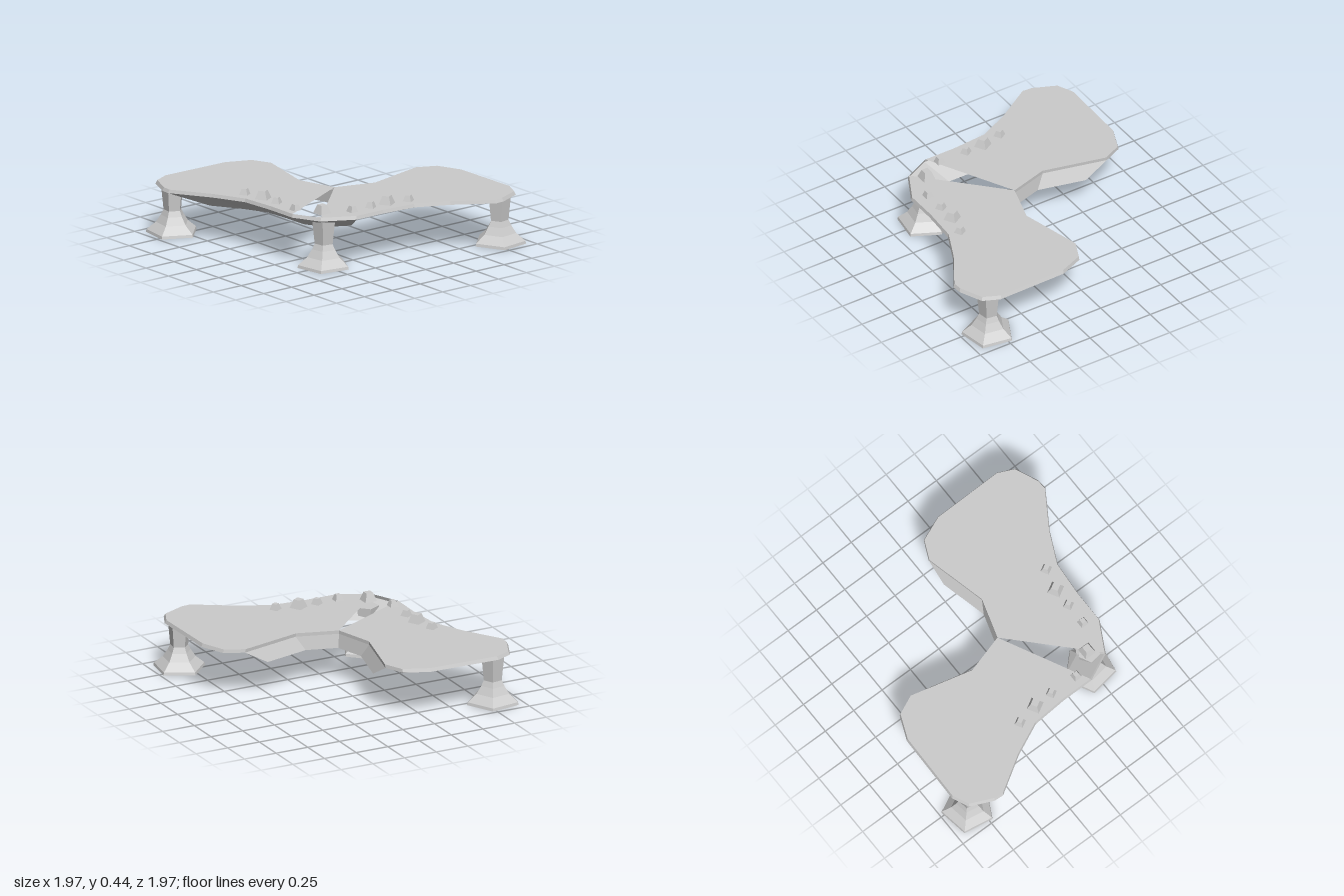
import * as THREE from 'three';

const TOP = 0.385, RIM = 0.36, SKIRT = 0.26;

const material = new THREE.MeshStandardMaterial({ color: 0xcccccc, flatShading: true });
const thin = new THREE.MeshStandardMaterial({ color: 0xcccccc, flatShading: true, side: THREE.DoubleSide });

// Outline of one wing as [x, z], from the inner notch round to the outer corner
const wing = [
  [-0.045, 0.04], [0.25, 0.13], [0.71, 0.016], [0.85, 0.08], [0.925, 0.26],
  [0.935, 0.79], [0.88, 0.91], [0.71, 0.985], [0.64, 0.99], [0.37, 0.82],
  [0.135, 0.71], [-0.13, 0.69], [-0.37, 0.69], [-0.595, 0.57],
];
const mirror = ([x, z]) => [-z, -x];
const mirroredWing = wing.slice(1, -1).map(mirror).reverse();
const ring = [...wing, ...mirroredWing];

function addMesh(group, name, geometry, mat = material) {
  const mesh = new THREE.Mesh(geometry, mat);
  mesh.name = name;
  group.add(mesh);
  return mesh;
}

// Flat top surface of a wing
function plate(points) {
  const shape = new THREE.Shape(points.map(([x, z]) => new THREE.Vector2(x * 0.99, -z * 0.99)));
  return new THREE.ShapeGeometry(shape).rotateX(-Math.PI / 2).translate(0, TOP, 0);
}

// Wall between two heights, each with its own scale of the outline
function wall(points, yTop, scaleTop, yLow, scaleLow) {
  const positions = [], index = [];
  points.forEach(([x, z], i) => {
    positions.push(x * scaleTop, yTop, z * scaleTop, x * scaleLow, yLow, z * scaleLow);
    if (i > 0) {
      const a = 2 * (i - 1);
      index.push(a, a + 2, a + 1, a + 1, a + 2, a + 3);
    }
  });
  const g = new THREE.BufferGeometry();
  g.setAttribute('position', new THREE.Float32BufferAttribute(positions, 3));
  g.setIndex(index);
  g.computeVertexNormals();
  return g;
}

// Five-sided pedestal leg with a flared foot
function leg(height) {
  const profile = [[0, 0], [0.19, 0], [0.185, 0.02], [0.12, 0.075], [0.085, 0.13],
    [0.066, 0.17], [0.085, height], [0, height]];
  return new THREE.LatheGeometry(profile.map(([r, y]) => new THREE.Vector2(r, y)), 5);
}

export function createModel() {
  const model = new THREE.Group();
  model.name = 'table';

  // Two wings meeting at the notch, with an open wedge between them
  addMesh(model, 'leftWingTop', plate(wing), thin);
  addMesh(model, 'rightWingTop', plate([wing[0], ...mirroredWing.slice().reverse()]), thin);
  addMesh(model, 'rim', wall([...ring, ring[0]], TOP, 0.99, RIM, 1), thin);

  // Sloping skirts below the rim
  const notch = [...ring.slice(-2), ...ring.slice(0, 3)];
  addMesh(model, 'notchSkirt', wall(notch, RIM, 1, SKIRT, 0.75), thin);
  addMesh(model, 'outerSkirt', wall(ring.slice(12, 19), RIM, 1, SKIRT, 0.75), thin);

  // Legs: x, z, turn, height
  [
    ['leftLeg', 0.81, 0.81, 45, 0.365],
    ['backLeg', -0.81, -0.81, -135, 0.365],
    ['cornerLeg', -0.505, 0.495, -45, 0.34],
  ].forEach(([name, x, z, turn, height]) => {
    const m = addMesh(model, name, leg(height));
    m.position.set(x, 0, z);
    m.rotation.y = THREE.MathUtils.degToRad(turn);
  });

  // Row of studs: x, z, half width, turn
  [
    [-0.64, -0.22, 0.031, 30], [-0.605, -0.06, 0.045, 30], [-0.6, 0.085, 0.03, 30],
    [-0.605, 0.3, 0.03, 0], [-0.505, 0.475, 0.045, 0], [-0.32, 0.58, 0.03, 0],
    [-0.155, 0.58, 0.03, 30], [-0.01, 0.58, 0.045, 30], [0.15, 0.62, 0.031, 30],
  ].forEach(([x, z, half, turn], i) => {
    const r = half * Math.SQRT2, h = half > 0.04 ? 0.06 : 0.042;
    const g = new THREE.CylinderGeometry(r * 0.55, r, h, 4).rotateY(Math.PI / 4);
    const m = addMesh(model, `stud${i + 1}`, g);
    m.position.set(x, TOP + h / 2, z);
    m.rotation.y = THREE.MathUtils.degToRad(turn);
  });

  return model;
}
